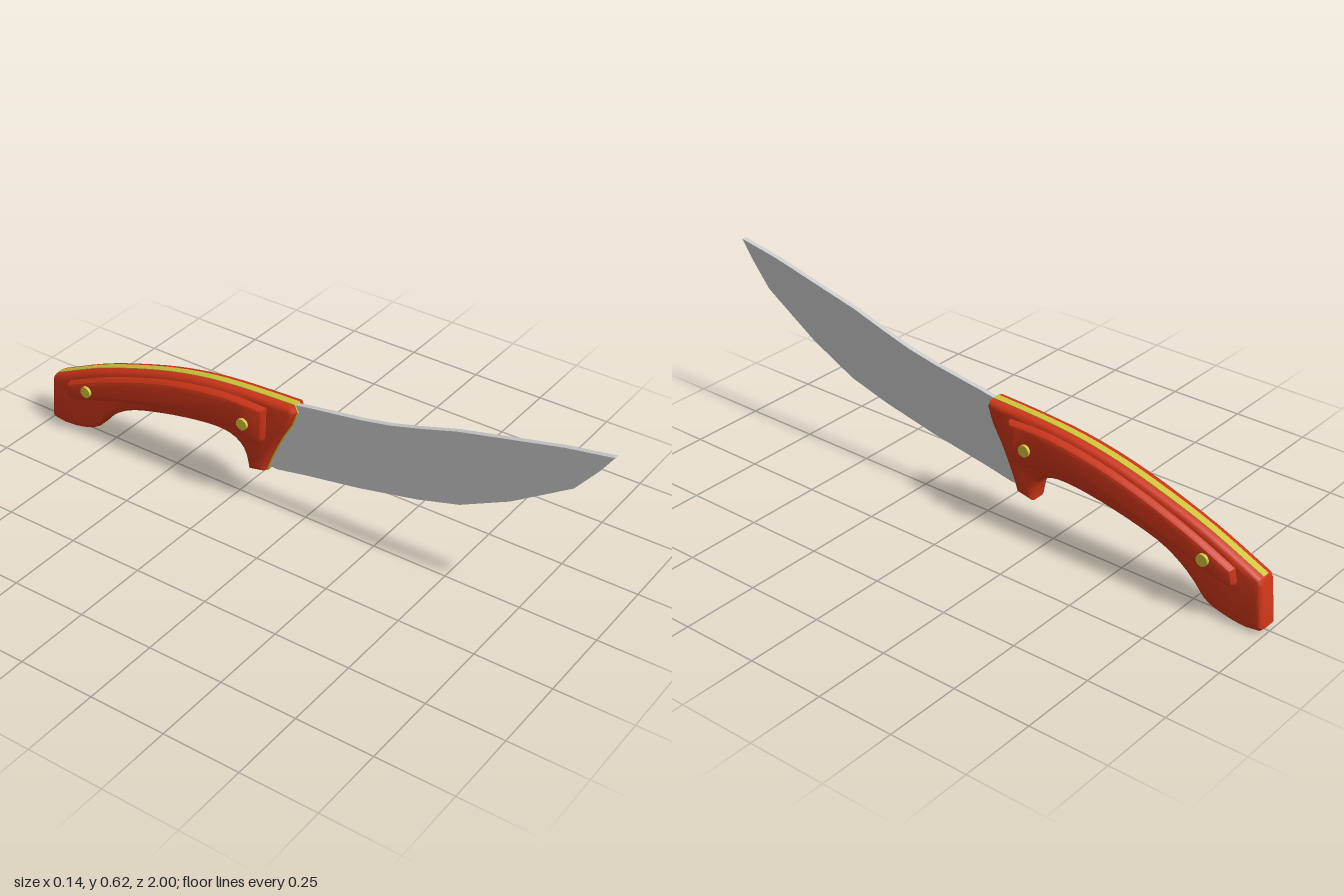
import * as THREE from 'three';
import { toCreasedNormals } from 'three/addons/utils/BufferGeometryUtils.js';

const steel = new THREE.MeshStandardMaterial({ color: 0xcccccc });
const red = new THREE.MeshStandardMaterial({ color: 0xcc3519 });
const brass = new THREE.MeshStandardMaterial({ color: 0xcfc23a });

const vecs = (pts) => pts.map(([u, v]) => new THREE.Vector2(u, v));
const smooth = (pts, n) => new THREE.SplineCurve(vecs(pts)).getPoints(n);

// Side profile (u = -z, v = y) extruded evenly about x = 0, bevelled inward
function slab(name, outline, halfWidth, material, bevel = 0, bevelDepth = bevel) {
  const depth = 2 * (halfWidth - bevelDepth);
  const geo = new THREE.ExtrudeGeometry(new THREE.Shape(outline), {
    depth, bevelEnabled: bevel > 0, bevelSize: bevel, bevelOffset: -bevel,
    bevelThickness: bevelDepth, bevelSegments: 3,
  });
  geo.translate(0, 0, -depth / 2).rotateY(Math.PI / 2);
  const mesh = new THREE.Mesh(toCreasedNormals(geo, 0.55), material);
  mesh.name = name;
  return mesh;
}

export function createModel() {
  const model = new THREE.Group();
  model.name = 'knife';

  // Blade: gently hollow spine and a deep belly sweeping up to the tip
  model.add(slab('blade', vecs([
    [-1, 0.628], [-0.96, 0.57], [-0.89, 0.485], [-0.7, 0.362], [-0.54, 0.283], [-0.4, 0.243],
    [-0.2, 0.2], [0, 0.166], [0.1, 0.146], [0.14, 0.15], [0.14, 0.36], [0.04, 0.402],
    [-0.02, 0.413], [-0.2, 0.44], [-0.3, 0.46], [-0.4, 0.488], [-0.52, 0.525], [-0.7, 0.567],
    [-0.85, 0.602],
  ]), 0.008, steel));

  // Handle body: arched back, finger guard and hooked butt
  const back = [[0.03, 0.406], [0.2, 0.398], [0.35, 0.383], [0.5, 0.353], [0.65, 0.309],
    [0.8, 0.256], [0.976, 0.176]];
  const grip = [[0.94, 0.004], [0.88, 0.011], [0.81, 0.034], [0.765, 0.08], [0.72, 0.12],
    [0.65, 0.16], [0.55, 0.19], [0.43, 0.216], [0.32, 0.23], [0.25, 0.223], [0.208, 0.19],
    [0.192, 0.124]];
  const front = [[0.135, 0.136], [0.115, 0.19], [0.075, 0.275], [0.04, 0.335], [0.022, 0.385]];
  model.add(slab('handleBody', [
    ...smooth(back, 18), ...vecs([[0.983, 0.16], [0.997, 0.022], [0.985, 0.01]]),
    ...smooth(grip, 30), ...smooth(front, 8),
  ], 0.038, red, 0.018, 0.02));

  // Tang: thin strip standing just proud of the back and front of the handle
  const proud = back.map(([u, v]) => [u, v + 0.002]);
  model.add(slab('tang', [
    ...smooth(proud, 18), ...vecs([[0.96, 0.15], [0.8, 0.2], [0.5, 0.3], [0.2, 0.34], [0.17, 0.129]]),
    ...smooth(front.map(([u, v]) => [u - 0.003, v - 0.004]), 8),
  ], 0.012, brass));

  // Raised grip panels on both sides
  model.add(slab('gripPanels', [
    ...smooth([[0.115, 0.378], [0.25, 0.379], [0.4, 0.359], [0.55, 0.323], [0.7, 0.273],
      [0.8, 0.233], [0.9, 0.187]], 16),
    ...smooth([[0.908, 0.15], [0.9, 0.13], [0.85, 0.134], [0.75, 0.17], [0.62, 0.208],
      [0.48, 0.24], [0.35, 0.258], [0.25, 0.258], [0.18, 0.244], [0.137, 0.245],
      [0.12, 0.27]], 20),
  ], 0.06, red, 0.018, 0.022));

  // Rivets through the handle
  for (const [y, z] of [[0.308, -0.187], [0.19, -0.81]]) {
    const rivet = new THREE.Mesh(new THREE.CylinderGeometry(0.019, 0.019, 0.14, 16), brass);
    rivet.name = 'rivet';
    rivet.rotation.z = Math.PI / 2;
    rivet.position.set(0, y, z);
    model.add(rivet);
  }
  return model;
}
